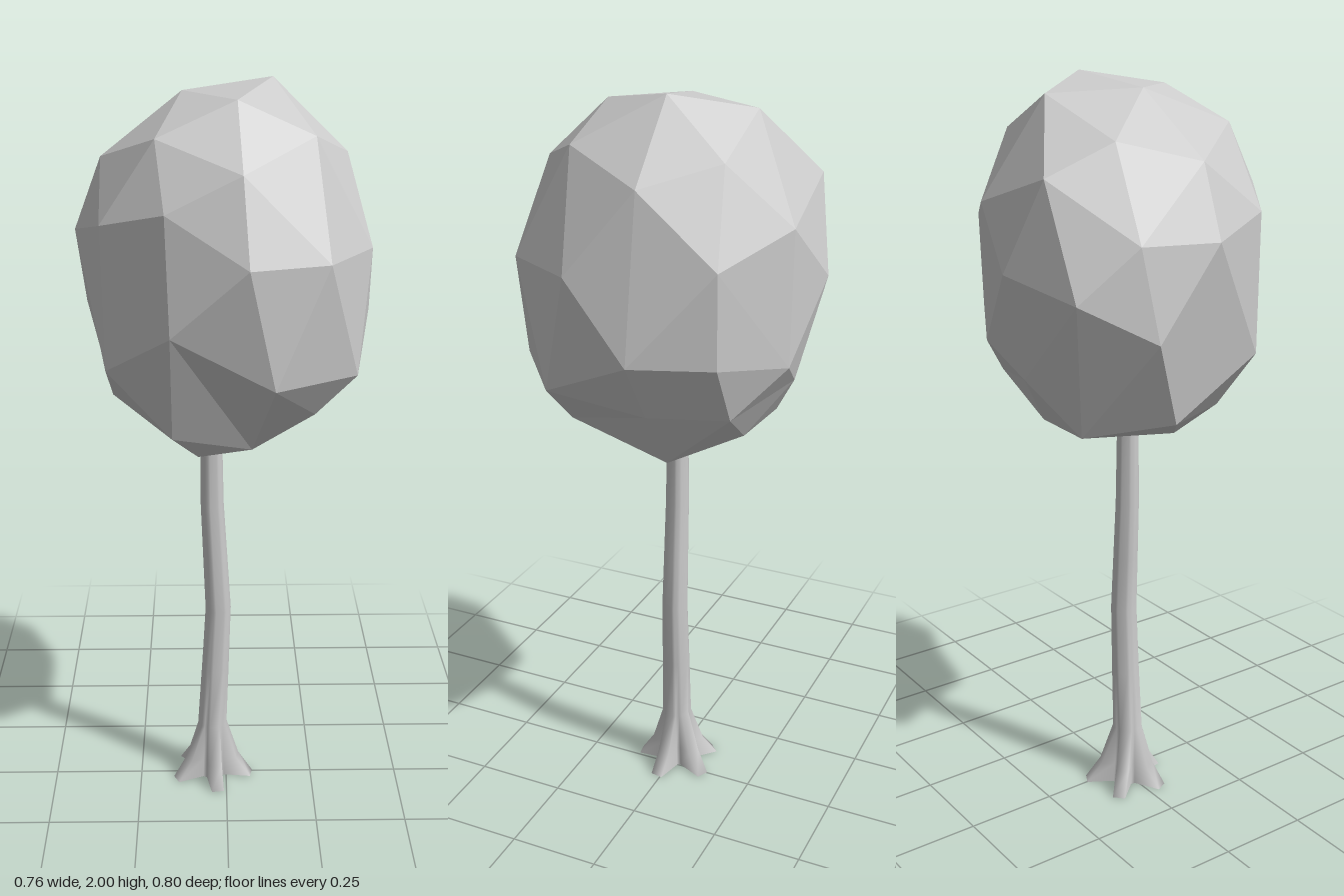
import * as THREE from 'three';

const material = () => new THREE.MeshStandardMaterial({ color: 0xcccccc });
const vec = (x, y, z) => new THREE.Vector3(x, y, z);

// Irregular corners of the crown; each one pulls the nearest icosphere corner to it
const CROWN_CORNERS = [
  // top
  [0.118, 2.0, -0.045], [-0.11, 1.97, -0.01], [0.025, 1.965, 0.157], [-0.01, 1.96, -0.23],
  // middle, front and sides
  [0.365, 1.6, 0.115], [-0.15, 1.72, 0.315], [0.247, 1.6, 0.31], [0.38, 1.4, -0.055],
  [0.33, 1.29, 0.19], [-0.14, 1.43, 0.35], [0.115, 1.3, 0.36], [-0.305, 1.31, 0.21],
  [-0.385, 1.63, 0.02], [-0.375, 1.4, -0.15], [0.05, 1.605, 0.397],
  // middle, back
  [-0.075, 1.55, -0.4], [-0.175, 1.785, -0.342], [-0.28, 1.5, -0.325],
  [0.08, 1.35, -0.36], [0.28, 1.39, -0.25],
  // underside
  [-0.14, 1.13, 0.22], [-0.305, 1.165, -0.045], [-0.17, 1.13, -0.24], [-0.075, 1.047, 0.125],
  [0.14, 1.06, -0.055], [0.03, 1.125, -0.225], [0.19, 1.23, -0.25], [-0.05, 1.27, -0.33],
  [0.065, 1.08, 0.16], [0.28, 1.24, -0.06],
];

// Faceted egg-shaped crown: an icosphere with one face tilted up and uneven corners
function makeCrown() {
  const geo = new THREE.IcosahedronGeometry(1, 1);
  const t = (1 + Math.sqrt(5)) / 2;
  const up = vec(1, 1, 1).normalize();
  const front = vec(0, 1, t).projectOnPlane(up).normalize();
  const side = up.clone().cross(front);
  geo.applyMatrix4(new THREE.Matrix4().makeBasis(side, up, front).transpose());
  geo.rotateX(-0.262).rotateY(0.113);
  geo.scale(0.39, 0.495, 0.4).translate(0, 1.5225, 0);

  const pos = geo.attributes.position;
  const smooth = Array.from({ length: pos.count }, (_, i) => vec().fromBufferAttribute(pos, i));
  for (const corner of CROWN_CORNERS) {
    const distances = smooth.map((p) => p.distanceTo(vec(...corner)));
    const nearest = Math.min(...distances) + 1e-4;
    distances.forEach((d, i) => { if (d < nearest) pos.setXYZ(i, ...corner); });
  }
  geo.computeVertexNormals();
  const crown = new THREE.Mesh(geo, material());
  crown.material.flatShading = true;
  crown.name = 'crown';
  return crown;
}

// Gently bent trunk that flares into five roots
const ROOTS = 5;
const SIDES = ROOTS * 4;
const START = THREE.MathUtils.degToRad(-62);

// Rings: [y, centre x, centre z, radius at a root, radius between roots]
const RINGS = [
  [0, -0.041, -0.008, 0.118, 0.045],
  [0.06, -0.041, -0.006, 0.077, 0.042],
  [0.17, -0.04, -0.003, 0.042, 0.038],
  [0.35, -0.031, -0.004, 0.039, 0.038],
  [0.54, -0.022, -0.004, 0.036, 0.036],
  [0.7, -0.03, -0.004, 0.034, 0.034],
  [0.86, -0.038, -0.004, 0.032, 0.032],
  [1.1, -0.04, -0.004, 0.029, 0.029],
];

function ringPoint([y, cx, cz, rRoot, rGap], j) {
  // Four points per root: two at the blunt tip, two in the gap
  const root = Math.floor(j / 4), k = j % 4;
  const spread = (rRoot - rGap) / 0.073;
  const tip = THREE.MathUtils.lerp(0.31, 0.15, spread);
  const offset = [-tip, tip, 0.5, 2 * Math.PI / ROOTS - 0.5][k];
  const a = START + root * 2 * Math.PI / ROOTS + offset;
  const r = k < 2 ? rRoot : rGap;
  return [cx + r * Math.cos(a), y, cz + r * Math.sin(a)];
}

function makeTrunk() {
  const positions = [], index = [];
  RINGS.forEach((ring, i) => {
    for (let j = 0; j < SIDES; j++) {
      positions.push(...ringPoint(ring, j));
      if (i === RINGS.length - 1) continue;
      const a = i * SIDES + j, b = i * SIDES + (j + 1) % SIDES;
      index.push(a, a + SIDES, b, b, a + SIDES, b + SIDES);
    }
  });
  const geo = new THREE.BufferGeometry();
  geo.setAttribute('position', new THREE.Float32BufferAttribute(positions, 3));
  geo.setIndex(index);
  geo.computeVertexNormals();
  const trunk = new THREE.Mesh(geo, material());
  trunk.name = 'trunk';
  return trunk;
}

// Flat star-shaped underside of the roots
function makeRootBase() {
  const [y, cx, cz] = RINGS[0];
  const positions = [];
  for (let j = 0; j < SIDES; j++) {
    positions.push(cx, y, cz, ...ringPoint(RINGS[0], j), ...ringPoint(RINGS[0], (j + 1) % SIDES));
  }
  const geo = new THREE.BufferGeometry();
  geo.setAttribute('position', new THREE.Float32BufferAttribute(positions, 3));
  geo.computeVertexNormals();
  const base = new THREE.Mesh(geo, material());
  base.name = 'rootBase';
  return base;
}

export function createModel() {
  const tree = new THREE.Group();
  tree.name = 'tree';
  tree.add(makeCrown(), makeTrunk(), makeRootBase());
  return tree;
}
